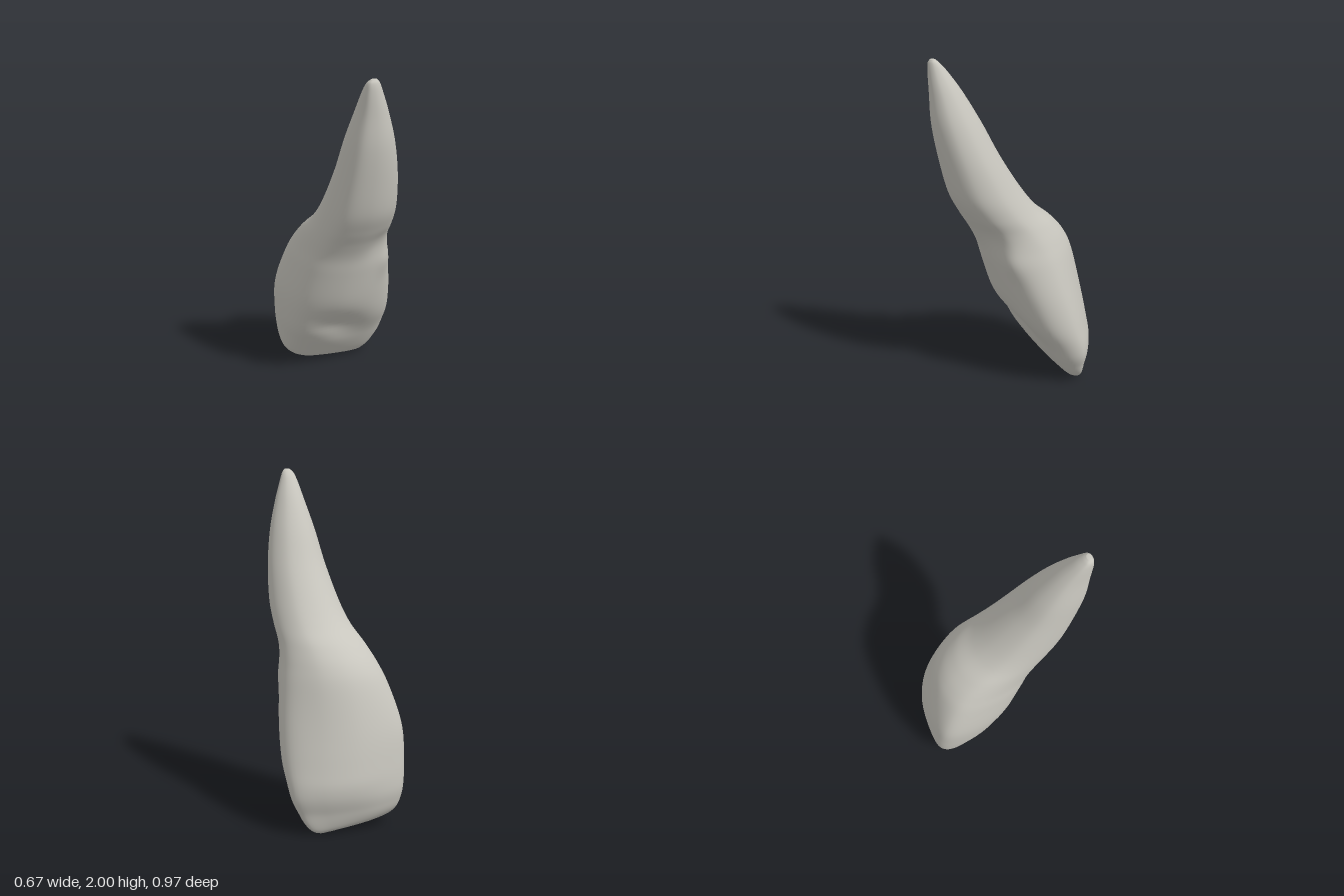
import * as THREE from 'three';

const AROUND = 72, UP = 110;

// Height levels: y, min x, max x, front z, back z
const levels = [
  [0.0, -0.18, 0.19, -0.275, -0.36],
  [0.02, -0.235, 0.235, -0.25, -0.41],
  [0.06, -0.27, 0.27, -0.215, -0.445],
  [0.12, -0.29, 0.297, -0.17, -0.468],
  [0.22, -0.308, 0.33, -0.1, -0.485],
  [0.38, -0.328, 0.329, 0.012, -0.477],
  [0.58, -0.335, 0.302, 0.095, -0.448],
  [0.8, -0.305, 0.255, 0.172, -0.385],
  [0.92, -0.28, 0.222, 0.213, -0.325],
  [1.02, -0.262, 0.197, 0.265, -0.235],
  [1.12, -0.245, 0.18, 0.328, -0.115],
  [1.25, -0.23, 0.158, 0.395, -0.01],
  [1.45, -0.21, 0.117, 0.447, 0.115],
  [1.65, -0.19, 0.062, 0.482, 0.215],
  [1.82, -0.163, 0.0, 0.488, 0.31],
  [1.93, -0.15, -0.048, 0.487, 0.383],
  [1.98, -0.14, -0.072, 0.482, 0.425],
  [2.0, -0.122, -0.09, 0.472, 0.448],
];

// Outlines in a unit square (x, z), running right side, back, left side, front
const outline = (pts) => new THREE.CatmullRomCurve3(
  pts.map(([x, z]) => new THREE.Vector3(x, 0, z)), true, 'centripetal').getPoints(AROUND);
const biteOutline = outline([[-1, -0.4], [-0.86, -0.93], [-0.4, -0.96], [0.1, -0.7], [0.6, -0.25],
  [1, 0.4], [0.82, 0.92], [0.35, 0.97], [-0.25, 0.84], [-0.82, 0.45]]);
const crownOutline = outline([[-1, -0.36], [-0.87, -0.89], [-0.42, -1], [0.15, -0.9], [0.65, -0.52],
  [1, 0.14], [0.85, 0.7], [0.38, 0.97], [-0.3, 1], [-0.82, 0.6]]);
const rootOutline = outline([[-1, -0.05], [-0.8, -0.7], [-0.25, -1], [0.3, -0.96], [0.78, -0.63],
  [1, 0.05], [0.78, 0.65], [0.3, 0.95], [-0.25, 0.98], [-0.82, 0.7]]);

const smooth = THREE.MathUtils.smoothstep;
const clamp = THREE.MathUtils.clamp;
const bell = (x, y, cx, cy, rx, ry) => Math.exp(-(((x - cx) / rx) ** 2) - ((y - cy) / ry) ** 2);

function toothGeometry() {
  const spline = (a, b) => new THREE.CatmullRomCurve3(
    levels.map((l) => new THREE.Vector3(l[0], l[a], l[b])), false, 'catmullrom', 0.5);
  const widths = spline(1, 2), depths = spline(3, 4);
  const positions = [], index = [];

  for (let i = 0; i <= UP; i++) {
    const { x: y, y: x0, z: x1 } = widths.getPoint(i / UP);
    const { y: zf, z: zb } = depths.getPoint(i / UP);
    const toRoot = smooth(y, 0.5, 1.2), toCrown = smooth(y, 0.02, 0.32);
    for (let j = 0; j < AROUND; j++) {
      const p = biteOutline[j].clone().lerp(crownOutline[j], toCrown).lerp(rootOutline[j], toRoot);
      const x = (x0 + x1) / 2 + p.x * (x1 - x0) / 2;
      let z = (zf + zb) / 2 + p.z * (zf - zb) / 2;
      // Hollow inner face, dent at the neck and a small knob beside it
      const front = smooth(p.z, -0.1, 0.6);
      z -= front * 0.07 * bell(x, y, -0.06 - 0.5 * (y - 0.36), 0.36, 0.17, 0.13);
      z -= front * 0.015 * bell(x, y, 0.07, 1.0, 0.08, 0.09);
      z += front * 0.02 * bell(x, y, 0.17, 0.84, 0.06, 0.1);
      // Slanted biting edge
      const lift = 0.05 * clamp((0.2 - x) / 0.45, 0, 1) * clamp(1 - y / 0.4, 0, 1);
      positions.push(x, clamp(y + lift, 0, 2), z);
    }
  }
  for (let i = 0; i < UP; i++) {
    for (let j = 0; j < AROUND; j++) {
      const k = (j + 1) % AROUND;
      const a = i * AROUND + j, b = i * AROUND + k;
      index.push(a, a + AROUND, b, b, a + AROUND, b + AROUND);
    }
  }
  // Close both ends with a centre point
  for (const ring of [0, UP]) {
    const start = ring * AROUND, centre = positions.length / 3, sum = [0, 0, 0];
    for (let j = 0; j < AROUND * 3; j++) sum[j % 3] += positions[start * 3 + j] / AROUND;
    positions.push(...sum);
    for (let j = 0; j < AROUND; j++) {
      const a = start + j, b = start + (j + 1) % AROUND;
      if (ring === 0) index.push(centre, a, b);
      else index.push(centre, b, a);
    }
  }
  const geometry = new THREE.BufferGeometry();
  geometry.setAttribute('position', new THREE.Float32BufferAttribute(positions, 3));
  geometry.setIndex(index);
  geometry.computeVertexNormals();
  return geometry;
}

export function createModel() {
  const group = new THREE.Group();
  group.name = 'incisorTooth';
  const enamel = new THREE.MeshStandardMaterial({ color: 0xc8c6be });
  enamel.name = 'enamel';
  const tooth = new THREE.Mesh(toothGeometry(), enamel);
  tooth.name = 'tooth';
  group.add(tooth);
  return group;
}
